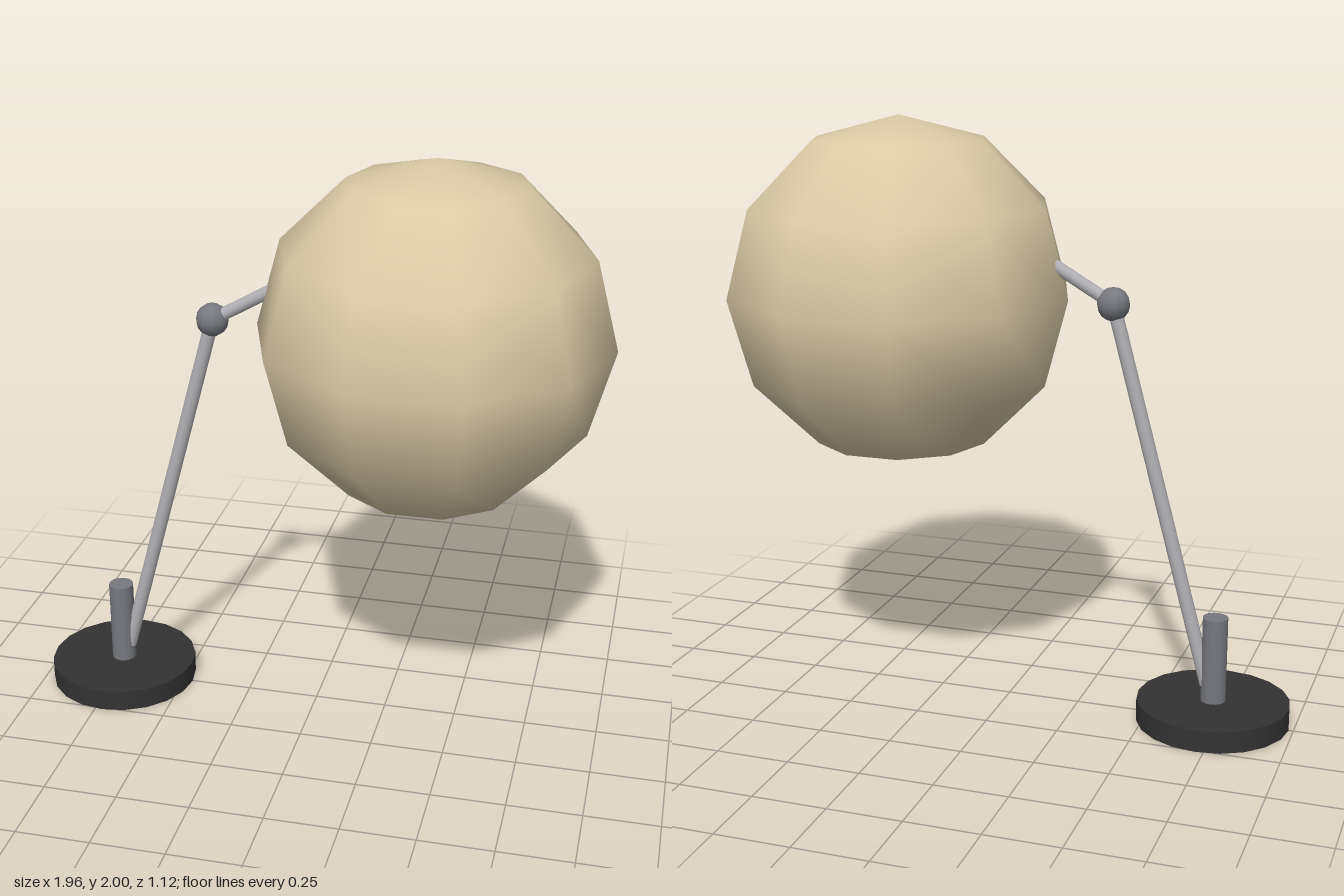
import * as THREE from 'three';

const mat = (name, color) => {
  const m = new THREE.MeshStandardMaterial({ color });
  m.name = name;
  return m;
};

export function createModel() {
  const black = mat('black base', 0x333333);
  const steel = mat('dark steel', 0x77797f);
  const silver = mat('silver', 0xb0b0b4);
  const cream = mat('cream shade', 0xdacba6);
  const group = new THREE.Group();

  const add = (name, geometry, material, x, y) => {
    const mesh = new THREE.Mesh(geometry, material);
    mesh.name = name;
    mesh.position.set(x, y, 0);
    group.add(mesh);
    return mesh;
  };

  // Rod between two points in the x-y plane
  const rod = (name, x0, y0, x1, y1, radius) => {
    const length = Math.hypot(x1 - x0, y1 - y0);
    const mesh = add(name, new THREE.CylinderGeometry(radius, radius, length, 12),
      silver, (x0 + x1) / 2, (y0 + y1) / 2);
    mesh.rotation.z = -Math.atan2(x1 - x0, y1 - y0);
  };

  // Weighted foot and short post
  add('base', new THREE.CylinderGeometry(0.259, 0.259, 0.075, 20), black, -0.725, 0.0375);
  add('post', new THREE.CylinderGeometry(0.043, 0.043, 0.298, 16), steel, -0.725, 0.222);

  // Jointed arm
  rod('lowerArm', -0.7, 0.13, -0.356, 1.41, 0.024);
  add('elbowJoint', new THREE.SphereGeometry(0.056, 10, 8), steel, -0.356, 1.41);
  rod('upperArm', -0.356, 1.41, -0.1, 1.558, 0.022);

  // Faceted globe shade
  add('shade', new THREE.SphereGeometry(0.59, 10, 6), cream, 0.388, 1.41);

  return group;
}
